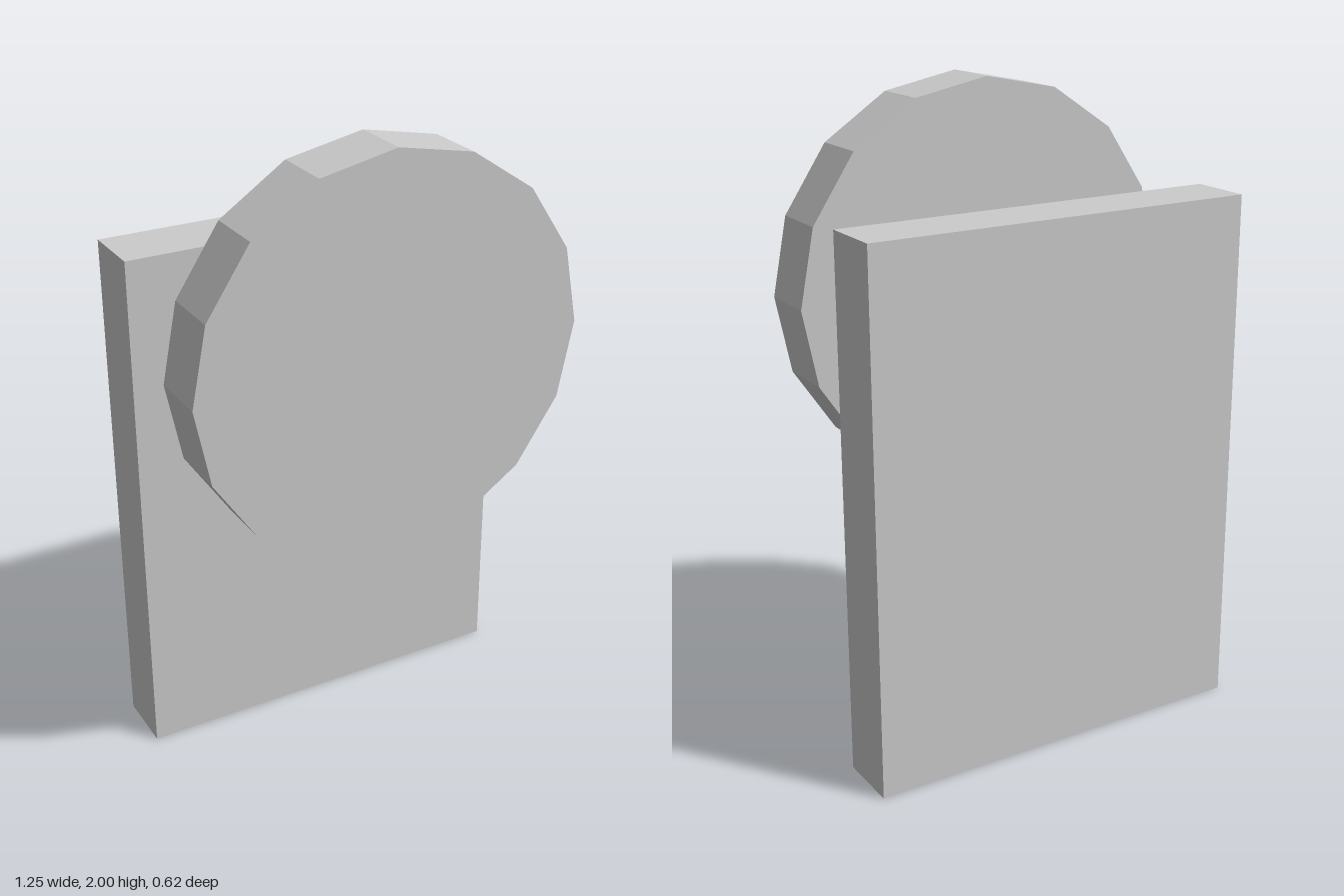
import * as THREE from 'three';

const AXIS_Y = 1.375; // height of the knob's axis

export function createModel() {
  const group = new THREE.Group();
  const material = new THREE.MeshStandardMaterial({ color: 0xcccccc, flatShading: true });

  const add = (name, geometry, y, z) => {
    const mesh = new THREE.Mesh(geometry, material);
    mesh.name = name;
    mesh.position.set(0, y, z);
    group.add(mesh);
  };

  // faceted cylinder lying along z, from zBack to zFront
  const addRound = (name, radius, sides, zBack, zFront) => {
    const geometry = new THREE.CylinderGeometry(radius, radius, zFront - zBack, sides);
    geometry.rotateX(Math.PI / 2);
    add(name, geometry, AXIS_Y, (zBack + zFront) / 2);
  };

  // upright mounting plate
  add('backPlate', new THREE.BoxGeometry(1.25, 1.656, 0.2), 0.828, -0.2115);

  // short stem joining plate and disc
  addRound('stem', 0.193, 8, -0.1115, 0.122);

  // large front disc
  addRound('frontDisc', 0.625, 16, 0.122, 0.3115);

  return group;
}
